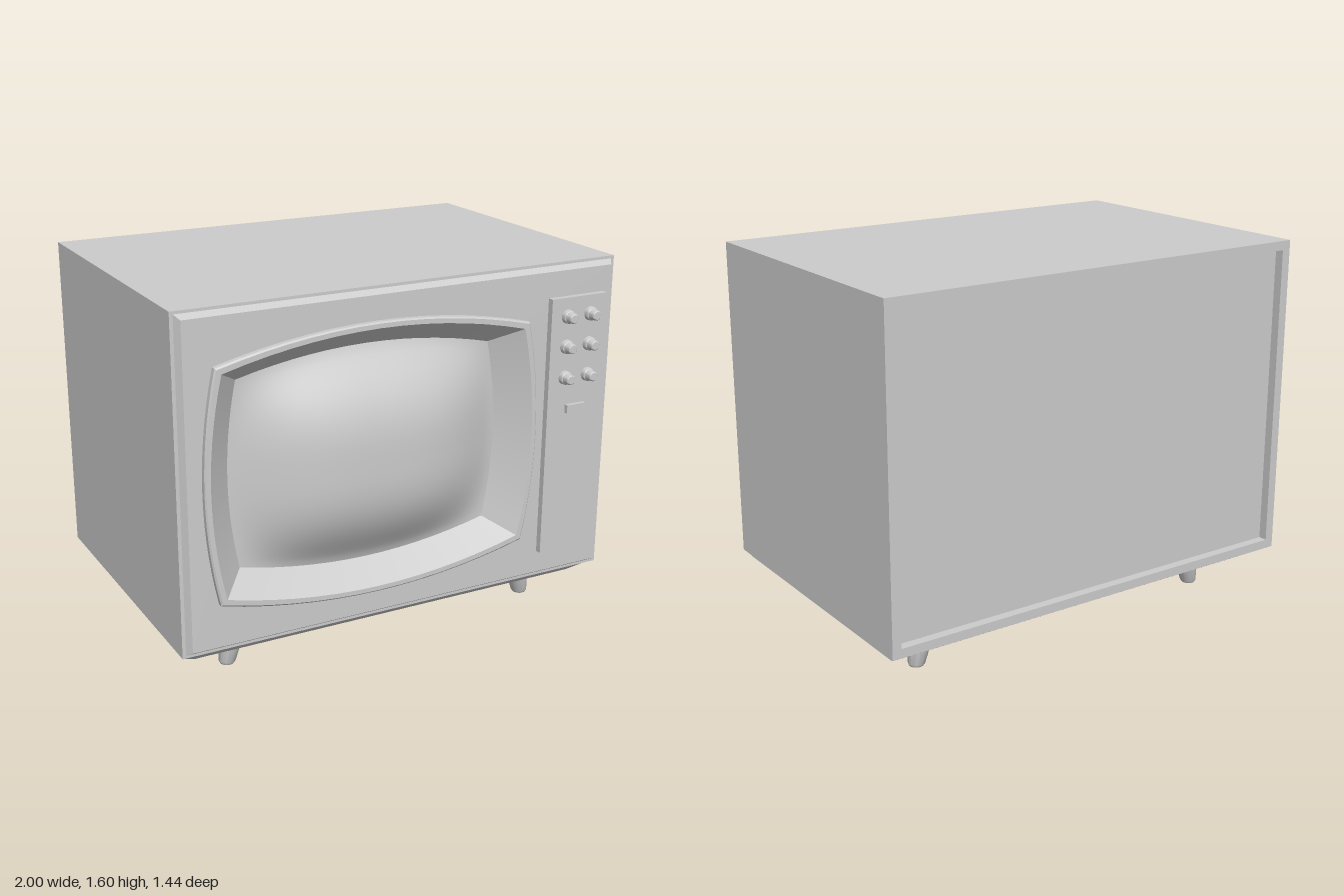
import * as THREE from 'three';
import { toCreasedNormals } from 'three/addons/utils/BufferGeometryUtils.js';

const material = new THREE.MeshStandardMaterial({ color: 0xcccccc });

// Joins counter-clockwise loops of points with quads; can close the first or last loop.
function loft(loops, { capStart = false, capEnd = false, crease = 0.5 } = {}) {
  const pos = [];
  const tri = (...points) => points.forEach((p) => pos.push(p.x, p.y, p.z));
  const n = loops[0].length;
  const centre = (loop) => loop.reduce((s, p) => s.add(p), new THREE.Vector3()).divideScalar(n);
  for (let i = 0; i < n; i++) {
    const j = (i + 1) % n;
    for (let k = 0; k + 1 < loops.length; k++) {
      const a = loops[k], b = loops[k + 1];
      tri(a[i], a[j], b[j]);
      tri(a[i], b[j], b[i]);
    }
    const first = loops[0], last = loops[loops.length - 1];
    if (capStart) tri(centre(first), first[j], first[i]);
    if (capEnd) tri(centre(last), last[i], last[j]);
  }
  const geometry = new THREE.BufferGeometry();
  geometry.setAttribute('position', new THREE.Float32BufferAttribute(pos, 3));
  return toCreasedNormals(geometry, crease);
}

const rect = (cx, cy, hw, hh, z) =>
  [[-1, -1], [1, -1], [1, 1], [-1, 1]].map(([u, v]) => new THREE.Vector3(cx + u * hw, cy + v * hh, z));

const circle = (cx, cy, r, z, n = 20) => Array.from({ length: n }, (_, i) => {
  const t = (i / n) * Math.PI * 2;
  return new THREE.Vector3(cx + r * Math.cos(t), cy + r * Math.sin(t), z);
});

// Maps u, v in -1..1 onto a rectangle with bowed sides, centred on the screen.
const SCREEN = { x: -0.15, y: 0.893 };
const bowed = (u, v, [hw, hh, bx, by], z) => new THREE.Vector3(
  SCREEN.x + u * (hw + bx * (1 - v * v)), SCREEN.y + v * (hh + by * (1 - u * u)), z);

function bowedLoop(size, z, n = 14) {
  const points = [];
  const sides = [(t) => [t, -1], (t) => [1, t], (t) => [-t, 1], (t) => [-1, -t]];
  for (const side of sides)
    for (let i = 0; i < n; i++) points.push(bowed(...side(-1 + (2 * i) / n), size, z));
  return points;
}

export function createModel() {
  const model = new THREE.Group();
  const add = (name, geometry, parent = model) => {
    const mesh = new THREE.Mesh(geometry, material);
    mesh.name = name;
    parent.add(mesh);
    return mesh;
  };

  // Cabinet: recessed back panel, rim, plain sides and bevelled front edge
  const cy = 0.895, hh = 0.705;
  add('cabinet', loft([
    rect(0, cy, 0.96, hh - 0.04, -0.68),
    rect(0, cy, 0.96, hh - 0.04, -0.72),
    rect(0, cy, 1, hh, -0.72),
    rect(0, cy, 1, hh, 0.612),
    rect(0, cy, 0.985, hh - 0.012, 0.612),
    rect(0, cy, 0.967, hh - 0.03, 0.64),
  ], { capStart: true, crease: 0.1 }));

  // Front board with an opening for the screen
  const outer = [0.7, 0.485, 0.055, 0.09];
  const board = new THREE.Shape(rect(0, cy, 0.967, hh - 0.03, 0).map((p) => new THREE.Vector2(p.x, p.y)));
  board.holes.push(new THREE.Path(bowedLoop(outer, 0).map((p) => new THREE.Vector2(p.x, p.y))));
  add('frontBoard', new THREE.ShapeGeometry(board).translate(0, 0, 0.64));

  // Screen surround: raised rim, then a funnel sloping in to the glass
  const glass = [0.57, 0.392, 0.043, 0.07];
  const glassEdge = 0.55;
  add('screenSurround', loft([
    bowedLoop(outer, 0.64),
    bowedLoop(outer, 0.662),
    bowedLoop([0.694, 0.479, 0.055, 0.09], 0.668),
    bowedLoop([0.675, 0.46, 0.055, 0.09], 0.668),
    bowedLoop(glass, glassEdge),
  ]));

  // Bulging glass
  const screen = new THREE.PlaneGeometry(2, 2, 56, 42);
  const p = screen.attributes.position;
  const swell = (t) => Math.pow(Math.max(0, 1 - Math.abs(t) ** 3), 1.5);
  for (let i = 0; i < p.count; i++) {
    const u = p.getX(i), v = p.getY(i);
    const q = bowed(u, v, glass, glassEdge + 0.15 * swell(u) * swell(v));
    p.setXYZ(i, q.x, q.y, q.z);
  }
  screen.computeVertexNormals();
  add('screen', screen);

  // Control panel with two columns of knobs and a button
  const controls = new THREE.Group();
  controls.name = 'controls';
  model.add(controls);
  add('controlPanel', new THREE.BoxGeometry(0.275, 1.14, 0.03), controls).position.set(0.793, 0.89, 0.653);
  const knob = loft([
    circle(0, 0, 0.03, 0),
    circle(0, 0, 0.028, 0.018),
    circle(0, 0, 0.024, 0.022),
    circle(0, 0, 0.021, 0.048),
    circle(0, 0, 0.017, 0.052),
  ], { capEnd: true });
  for (const x of [0.735, 0.85])
    for (const y of [1.38, 1.25, 1.115])
      add('knob', knob, controls).position.set(x, y, 0.668);
  add('button', new THREE.BoxGeometry(0.094, 0.036, 0.03), controls).position.set(0.792, 0.975, 0.672);

  // Plinth: straight upper band and a tapered underside (built lying down, then stood up)
  add('plinth', loft([
    rect(0, 0.045, 0.915, 0.565, 0.125),
    rect(0, 0.05, 0.98, 0.62, 0.167),
    rect(0, 0.05, 0.98, 0.62, 0.192),
  ], { capStart: true, capEnd: true, crease: 0.1 }).rotateX(-Math.PI / 2));

  // Tapered legs splayed outwards
  for (const s of [-1, 1])
    for (const z of [0.39, -0.475]) {
      const at = (shift, r, y) => circle(s * (0.713 + shift) + 0.015, -z, r, y);
      add(z > 0 ? 'frontLeg' : 'backLeg', loft([
        at(0.022, 0.03, 0),
        at(0.021, 0.036, 0.01),
        at(0, 0.055, 0.13),
      ], { capStart: true }).rotateX(-Math.PI / 2));
    }

  return model;
}
